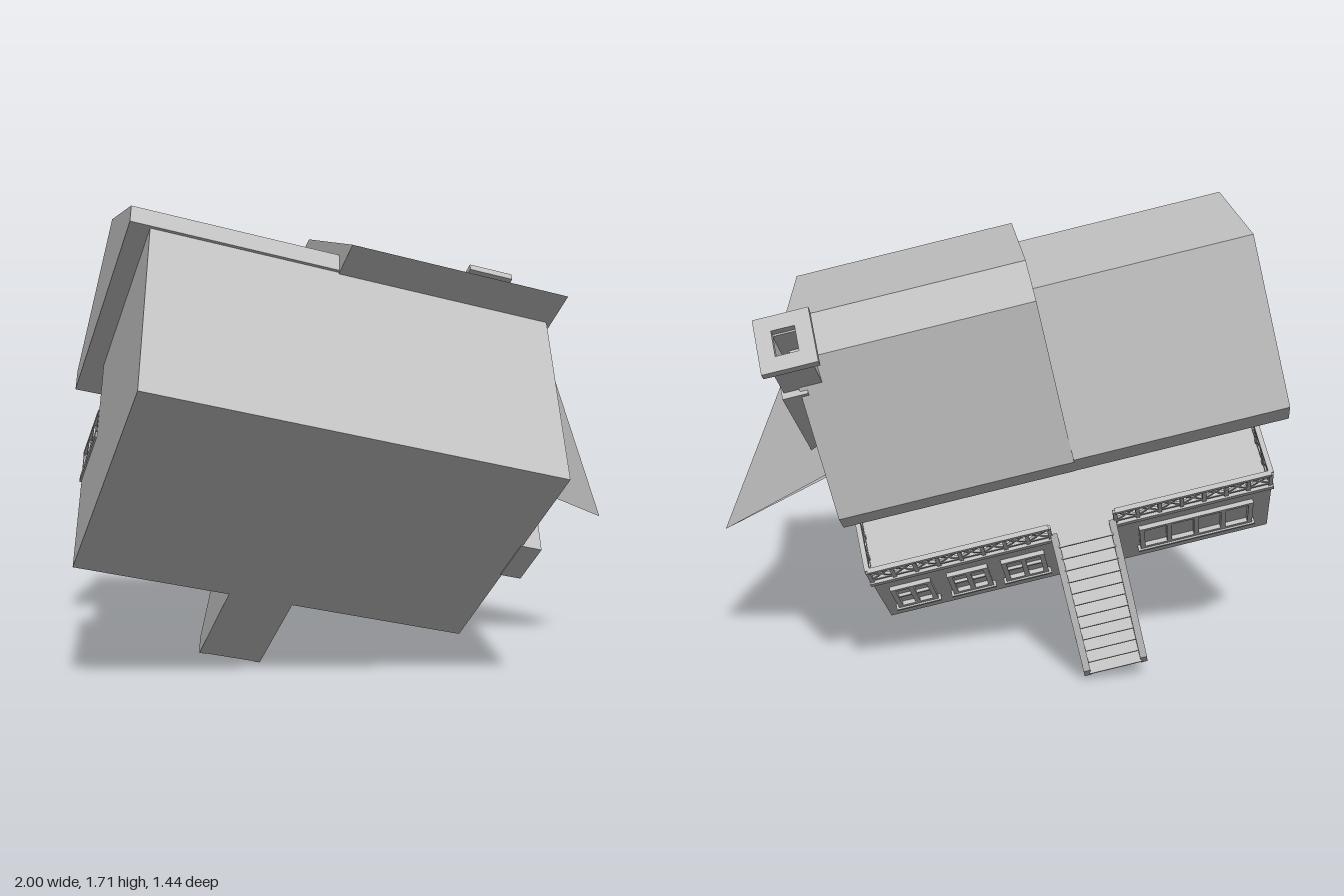
import * as THREE from 'three';

const grey = new THREE.MeshStandardMaterial({ color: 0xc0c0c0, side: THREE.DoubleSide });
grey.name = 'plain grey';

export function createModel() {
  // The house is built upright here (x along, y up, z to the blank wall), then tilted
  const house = new THREE.Group();
  house.name = 'house';

  function add(name, geometry, parent = house) {
    const mesh = new THREE.Mesh(geometry, grey);
    mesh.name = name;
    parent.add(mesh);
    return mesh;
  }
  function box(name, x0, x1, y0, y1, z0, z1, parent) {
    const g = new THREE.BoxGeometry(x1 - x0, y1 - y0, z1 - z0);
    g.translate((x0 + x1) / 2, (y0 + y1) / 2, (z0 + z1) / 2);
    return add(name, g, parent);
  }
  // Cross-section of [z, y] points, extruded from x0 to x1
  function prism(name, x0, x1, points, parent) {
    const shape = new THREE.Shape(points.map(([z, y]) => new THREE.Vector2(z, y)));
    const g = new THREE.ExtrudeGeometry(shape, { depth: x1 - x0, bevelEnabled: false });
    g.rotateY(-Math.PI / 2);
    g.translate(x1, 0, 0);
    return add(name, g, parent);
  }
  // Square bar between two points
  function bar(name, p, q, t, parent) {
    const a = new THREE.Vector3(...p), b = new THREE.Vector3(...q);
    const mesh = add(name, new THREE.BoxGeometry(t, t, a.distanceTo(b)), parent);
    mesh.position.copy(a).add(b).multiplyScalar(0.5);
    mesh.lookAt(b);
  }

  // Walls with the recessed upper storey behind the balcony
  prism('walls', -1.086, 0.367, [
    [0.2, 0.128], [1.16, 0.128], [1.16, 0.9], [0.455, 0.9], [0.455, 0.53], [0.2, 0.53]]);
  box('balconyFloor', -1.092, 0.373, 0.515, 0.54, 0.19, 0.455);

  // Two roofs side by side, the taller one with a flat top
  prism('lowRoof', -1.157, -0.42, [
    [0.297, 0.858], [1.17, 0.858], [1.17, 0.935], [0.778, 1.284], [0.297, 0.95]]);
  prism('tallRoof', -0.42, 0.385, [
    [0.297, 0.856], [1.303, 0.85], [0.852, 1.345], [0.69, 1.358], [0.297, 0.933]]);

  // Chimney on the end wall
  const chimney = new THREE.Group();
  chimney.name = 'chimney';
  house.add(chimney);
  box('chimneyBreast', 0.36, 0.437, 0.124, 0.66, 0.6, 0.78, chimney);
  box('chimneyStack', 0.36, 0.445, 0.66, 1.28, 0.605, 0.782, chimney);
  function tube(name, x0, x1, z0, z1, y0, y1, t) {
    box(name, x0, x1, y0, y1, z0, z0 + t, chimney);
    box(name, x0, x1, y0, y1, z1 - t, z1, chimney);
    box(name, x0, x0 + t, y0, y1, z0 + t, z1 - t, chimney);
    box(name, x1 - t, x1, y0, y1, z0 + t, z1 - t, chimney);
  }
  tube('chimneyShaft', 0.308, 0.437, 0.627, 0.757, 1.15, 1.47, 0.026);
  tube('chimneyCap', 0.28, 0.462, 0.593, 0.79, 1.468, 1.496, 0.053);

  // Pointed side awning
  const T1 = [0.386, 0.9, 1.067], T2 = [0.848, 0.55, 0.526];
  const T3 = [0.38, 0.912, 0.484], T5 = [0.367, 0.535, 0.66];
  const awning = new THREE.BufferGeometry();
  awning.setAttribute('position', new THREE.Float32BufferAttribute(
    [T1, T2, T3, T1, T5, T2].flat(), 3));
  awning.computeVertexNormals();
  add('sideAwning', awning);

  // Staircase: stepped solid between two stringers
  const S0 = -0.522, S1 = -0.286, steps = 12;
  const stairs = new THREE.Group();
  stairs.name = 'stairs';
  house.add(stairs);
  const profile = [[0.2, 0.128], [-0.2, 0.128]];
  for (let i = 0; i < steps; i++) {
    const z = -0.2 + (0.4 * i) / steps, y = 0.128 + (0.405 * (i + 1)) / steps;
    profile.push([z, y], [z + 0.4 / steps, y]);
  }
  prism('steps', S0 + 0.02, S1 - 0.02, profile, stairs);
  for (const x of [S0, S1 - 0.025]) {
    prism('stringer', x, x + 0.025,
      [[0.2, 0.128], [-0.203, 0.128], [-0.203, 0.19], [0.2, 0.575]], stairs);
  }
  for (let i = 1; i <= steps; i++) {
    const z = -0.2 + (0.4 * (i - 1)) / steps, y = 0.128 + (0.405 * i) / steps;
    box('tread', S0 + 0.02, S1 - 0.02, y, y + 0.008, z - 0.01, z + 0.034, stairs);
  }

  // Balcony railing with crossed braces
  const railing = new THREE.Group();
  railing.name = 'railing';
  house.add(railing);
  function rail(x0, z0, x1, z1, n) {
    const at = (i, y) => [x0 + ((x1 - x0) * i) / n, y, z0 + ((z1 - z0) * i) / n];
    bar('topRail', at(0, 0.638), at(n, 0.638), 0.018, railing);
    bar('bottomRail', at(0, 0.56), at(n, 0.56), 0.012, railing);
    for (let i = 0; i <= n; i++) {
      bar('railPost', at(i, 0.54), at(i, 0.64), 0.014, railing);
      if (i === n) break;
      bar('brace', at(i, 0.56), at(i + 1, 0.635), 0.009, railing);
      bar('brace', at(i, 0.635), at(i + 1, 0.56), 0.009, railing);
    }
  }
  rail(-1.08, 0.203, S0, 0.203, 7);
  rail(S1, 0.203, 0.362, 0.203, 8);
  rail(-1.08, 0.203, -1.08, 0.45, 3);
  rail(0.362, 0.203, 0.362, 0.45, 3);

  // Framed windows and doors on the balcony side
  function opening(name, x0, x1, y0, y1, z, columns, rows) {
    const g = new THREE.Group(), t = 0.018, d = 0.016;
    g.name = name;
    house.add(g);
    box('frame', x0, x1, y0, y0 + t, z - d, z, g);
    box('frame', x0, x1, y1 - t, y1, z - d, z, g);
    for (let i = 0; i <= columns; i++) {
      const x = x0 + ((x1 - x0 - t) * i) / columns;
      box('upright', x, x + t, y0, y1, z - d, z, g);
    }
    for (let i = 1; i < rows; i++) {
      const y = y0 + ((y1 - y0) * i) / rows;
      box('crossbar', x0, x1, y - 0.006, y + 0.006, z - d * 0.7, z, g);
    }
    box('sill', x0 - 0.01, x1 + 0.01, y0 - 0.012, y0, z - d * 1.4, z, g);
  }
  for (const [x0, x1] of [[0.17, 0.32], [-0.04, 0.11], [-0.25, -0.09]]) {
    opening('lowerWindow', x0, x1, 0.24, 0.44, 0.2, 2, 2);
  }
  opening('lowerWideWindow', -1.02, -0.6, 0.24, 0.44, 0.2, 4, 1);
  opening('upperWindow', 0.15, 0.3, 0.6, 0.79, 0.455, 2, 2);
  opening('upperWindow', -0.07, 0.08, 0.6, 0.79, 0.455, 2, 2);
  opening('balconyDoor', -0.3, -0.14, 0.553, 0.8, 0.455, 2, 3);
  opening('upperWideWindow', -1.04, -0.5, 0.56, 0.82, 0.455, 5, 1);

  // Tilt the whole house
  house.applyMatrix4(new THREE.Matrix4().makeBasis(
    new THREE.Vector3(0.972, -0.231, -0.031),
    new THREE.Vector3(0.133, 0.66, -0.738),
    new THREE.Vector3(0.19, 0.714, 0.673)));

  const model = new THREE.Group();
  model.name = 'tiltedHouse';
  model.add(house);
  return model;
}
